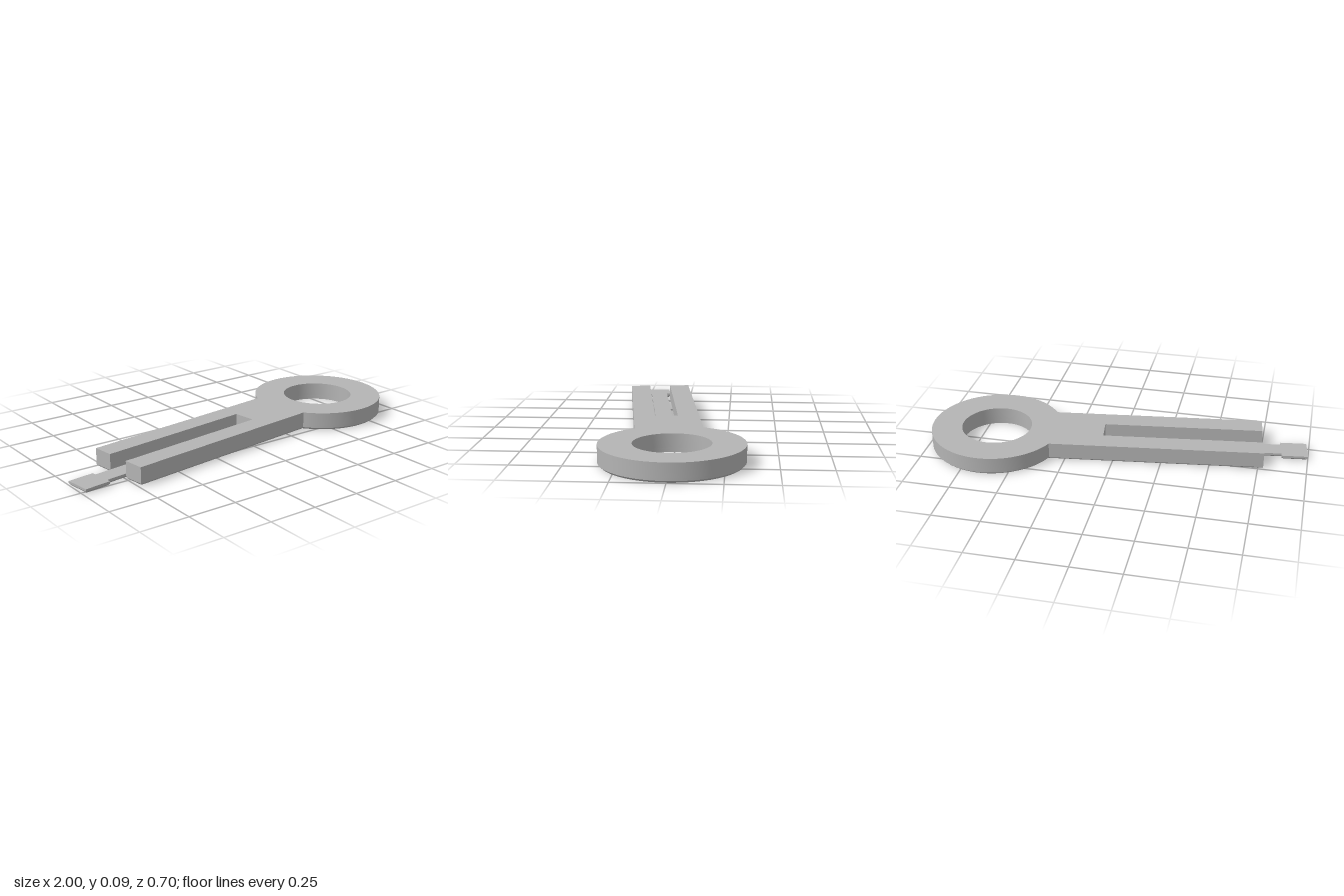
import * as THREE from 'three';
import { toCreasedNormals } from 'three/addons/utils/BufferGeometryUtils.js';

const RING = 0.348, HOLE = 0.187, HALF = 0.17;   // ring radii, half width of the arm
const END = -1.42, SLOT = -0.579, SLOT_HALF = 0.06;
const CHAMFER = 0.01, TONGUE_TOP = 0.022, TOP = 0.093;

const circle = (r, from, to, n) => Array.from({ length: n + 1 }, (_, i) => {
  const a = from + (to - from) * i / n;
  return new THREE.Vector2(r * Math.cos(a), r * Math.sin(a));
});

// Ring and arm outline, counter-clockwise, closed by a mirrored set of slot points
function outline(slotPoints) {
  const a = Math.PI - Math.asin(HALF / RING);
  const side = [[END, HALF], [END, SLOT_HALF], [SLOT, SLOT_HALF], ...slotPoints];
  const mirrored = side.map(([x, y]) => [x, -y]).reverse();
  return [...circle(RING, -a, a, 96),
    ...[...side, ...mirrored].map(([x, y]) => new THREE.Vector2(x, y))];
}

// Moves every edge of a closed counter-clockwise outline inwards by d
function inset(points, d) {
  const n = points.length;
  const normal = (a, b) => new THREE.Vector2(a.y - b.y, b.x - a.x).normalize();
  return points.map((p, i) => {
    const n1 = normal(points[(i + n - 1) % n], p), n2 = normal(p, points[(i + 1) % n]);
    return n1.clone().add(n2).multiplyScalar(d / (1 + n1.dot(n2))).add(p);
  });
}

function shapeWithHole(points) {
  const shape = new THREE.Shape(points);
  shape.holes.push(new THREE.Path(circle(HOLE, 0, Math.PI * 2, 72).slice(0, -1)));
  return shape;
}

// Wall between two matching closed outlines at heights 0 and h
function band(lower, upper, h) {
  const pos = [];
  lower.forEach((p, i) => {
    const j = (i + 1) % lower.length, q = lower[j], r = upper[j], s = upper[i];
    pos.push(p.x, p.y, 0, q.x, q.y, 0, r.x, r.y, h, p.x, p.y, 0, r.x, r.y, h, s.x, s.y, h);
  });
  const g = new THREE.BufferGeometry();
  g.setAttribute('position', new THREE.Float32BufferAttribute(pos, 3));
  return g;
}

export function createModel() {
  const group = new THREE.Group();
  group.name = 'ringKey';
  const grey = new THREE.MeshStandardMaterial({ color: 0xb4b4b4 });
  grey.name = 'grey';

  const add = (name, geometry) => {
    geometry.rotateX(-Math.PI / 2);
    const mesh = new THREE.Mesh(toCreasedNormals(geometry, 0.5), grey);
    mesh.name = name;
    group.add(mesh);
  };
  const slab = (points, y0, y1) => new THREE.ExtrudeGeometry(shapeWithHole(points),
    { depth: y1 - y0, bevelEnabled: false }).translate(0, 0, y0);

  // Base layer: ring, arm prongs and the thin tongue with its wider tip
  const base = outline([[SLOT, 0.046], [-1.52, 0.046], [-1.52, 0.067], [-1.657, 0.067]]);
  add('baseAndTongue', slab(base, CHAMFER, TONGUE_TOP));

  // Upper layer: ring and arm with an open slot above the tongue
  add('ringAndArm', slab(outline([]), TONGUE_TOP, TOP));

  // Chamfer around the underside, and the bottom of the ring hole
  const foot = inset(base, CHAMFER);
  add('bottomChamfer', band(foot, base, CHAMFER));
  const rim = circle(HOLE, Math.PI * 2, 0, 72).slice(0, -1);
  add('holeRim', band(rim, rim, CHAMFER));

  // Underside, turned to face down
  const under = new THREE.ShapeGeometry(shapeWithHole(foot));
  under.setIndex(Array.from(under.index.array).reverse());
  under.computeVertexNormals();
  add('underside', under);

  group.rotation.y = THREE.MathUtils.degToRad(7.1);
  group.position.set(0.652, 0, -0.001);
  const model = new THREE.Group();
  model.name = 'model';
  model.add(group);
  return model;
}
